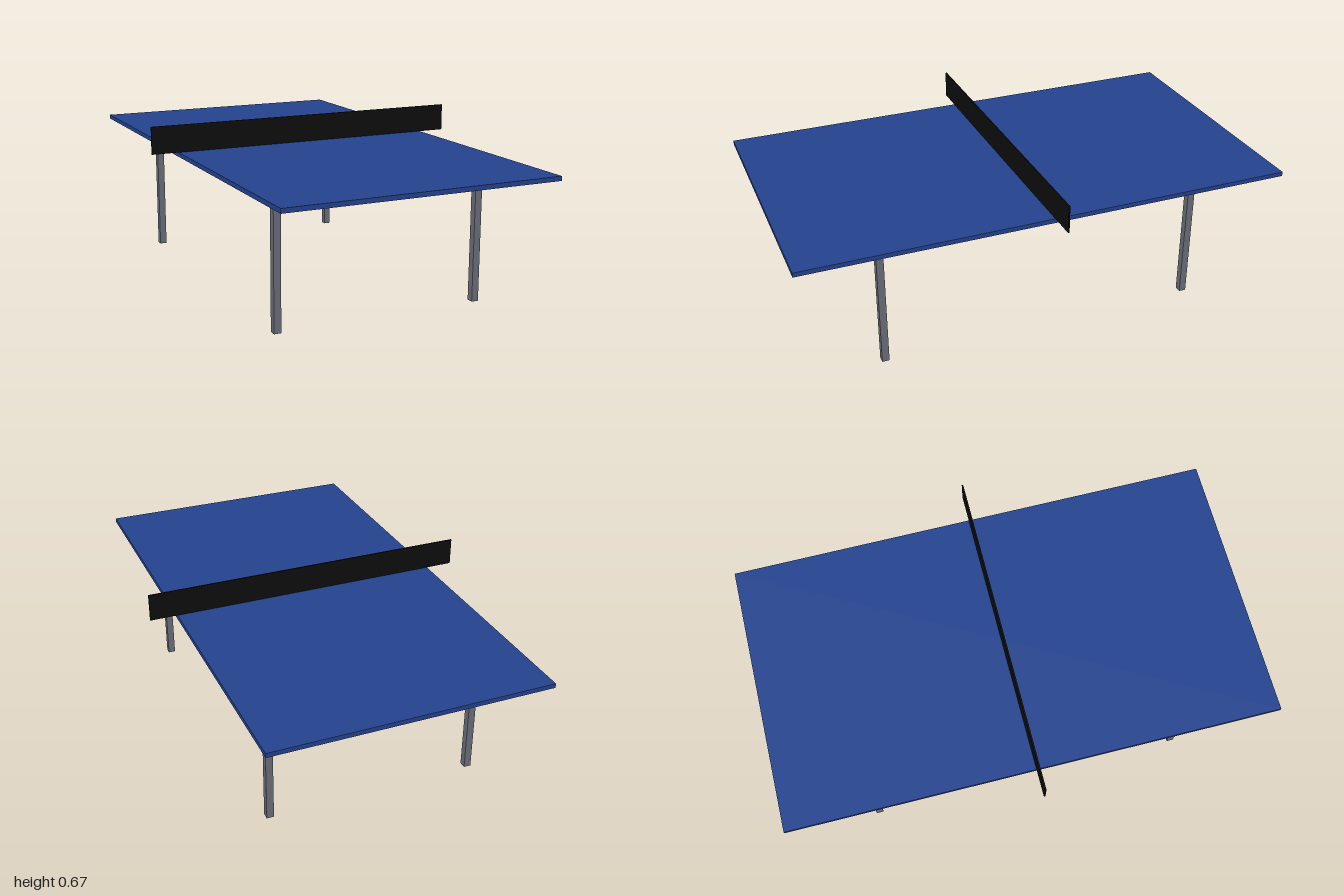
import * as THREE from 'three';

const material = (name, color) => {
  const m = new THREE.MeshStandardMaterial({ color });
  m.name = name;
  return m;
};

export function createModel() {
  const blue = material('table blue', 0x24438f);
  const grey = material('frame grey', 0x6a6e78);
  const black = material('net black', 0x0d0d0d);

  const model = new THREE.Group();
  model.name = 'tableTennisTable';

  const box = (parent, name, mat, size, pos) => {
    const mesh = new THREE.Mesh(new THREE.BoxGeometry(...size), mat);
    mesh.name = name;
    mesh.position.set(...pos);
    parent.add(mesh);
  };

  // Playing surface and the net that overhangs both sides
  box(model, 'tableTop', blue, [1.112, 0.018, 2], [0, 0.55, 0]);
  box(model, 'net', black, [1.334, 0.111, 0.006], [0, 0.6145, 0]);

  // Two U-shaped leg frames, one under each half
  const bar = 0.029, legX = 0.424, legTop = 0.541;
  for (const side of [1, -1]) {
    const frame = new THREE.Group();
    frame.name = side > 0 ? 'frontLegFrame' : 'backLegFrame';
    frame.position.z = side * 0.656;
    box(frame, 'leftLeg', grey, [bar, legTop, bar], [legX, legTop / 2, 0]);
    box(frame, 'rightLeg', grey, [bar, legTop, bar], [-legX, legTop / 2, 0]);
    box(frame, 'crossBar', grey, [2 * legX - bar, bar, bar], [0, legTop - bar / 2, 0]);
    model.add(frame);
  }

  return model;
}
